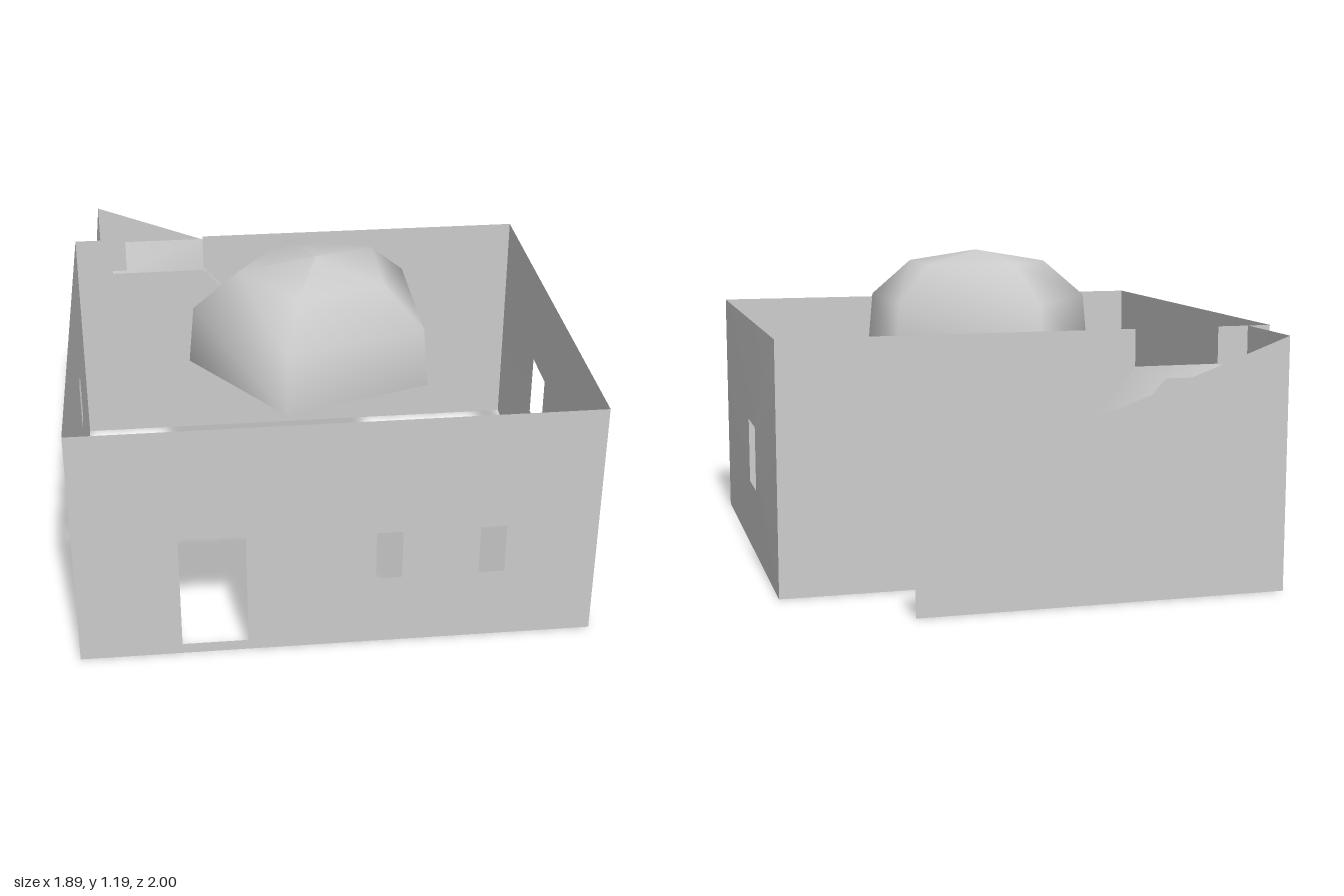
import * as THREE from 'three';

const H = 0.935;
const mat = new THREE.MeshStandardMaterial({ color: 0xcccccc, side: THREE.DoubleSide });

// Shape from [u, y] corners with rectangular openings [u0, y0, u1, y1]
function sheet(points, openings = []) {
  const shape = new THREE.Shape(points.map(([u, y]) => new THREE.Vector2(u, y)));
  for (const [a, b, c, d] of openings) {
    shape.holes.push(new THREE.Path([[a, b], [a, d], [c, d], [c, b]].map(([u, y]) => new THREE.Vector2(u, y))));
  }
  return new THREE.ShapeGeometry(shape);
}

const rect = (a, b) => [[a, 0], [b, 0], [b, H], [a, H]];

export function createModel() {
  const group = new THREE.Group();
  const add = (name, geometry) => {
    const mesh = new THREE.Mesh(geometry, mat);
    mesh.name = name;
    group.add(mesh);
    return mesh;
  };
  // Walls along z are drawn in (u = -z, y) and turned to face +x
  const addSide = (name, x, geometry) => {
    const mesh = add(name, geometry);
    mesh.rotation.y = Math.PI / 2;
    mesh.position.x = x;
  };

  // Front wall: door and two windows
  add('frontWall', sheet(rect(-0.95, 0.93), [
    [-0.58, 0.04, -0.34, 0.5],
    [0.125, 0.28, 0.22, 0.475],
    [0.5, 0.28, 0.595, 0.475],
  ])).position.z = 1;

  // Back wall, notched at the top where the stair landing enters
  add('backWall', sheet([
    [-0.95, 0], [0.93, 0], [0.93, H], [-0.41, H], [-0.41, 0.78], [-0.74, 0.78], [-0.74, H], [-0.95, H],
  ])).position.z = -0.64;

  // Right wall: two small windows
  addSide('rightWall', -0.95, sheet(rect(-1, 0.64), [
    [-0.65, 0.31, -0.55, 0.51],
    [0.14, 0.31, 0.23, 0.51],
  ]));

  // Left wall: one window, bulging slightly outward around it
  const leftWall = sheet(rect(-1, 0.64), [[-0.08, 0.29, 0.12, 0.54]]);
  const lp = leftWall.attributes.position;
  for (let i = 0; i < lp.count; i++) {
    if (lp.getY(i) > 0.1 && lp.getY(i) < 0.9) lp.setZ(i, 0.013);
  }
  leftWall.computeVertexNormals();
  addSide('leftWall', 0.93, leftWall);

  // Stair enclosure: stepped parapet and end wall
  add('stairParapet', sheet([
    [-0.86, 0], [0.51, 0], [0.51, 0.285], [0.36, 0.285], [-0.09, 0.65], [-0.86, H],
  ])).position.z = -1;
  addSide('stairEndWall', -0.86, sheet(rect(0.64, 1)));

  // Stair ramp: flat landing, then a slope down to the ground
  const profile = [[-0.8, 0.79], [-0.41, 0.79], [0.28, 0]];
  const ramp = new THREE.PlaneGeometry(1, 0.335, 2, 1);
  ramp.rotateX(-Math.PI / 2);
  const rp = ramp.attributes.position;
  for (let i = 0; i < rp.count; i++) {
    const [x, y] = profile[i % 3];
    rp.setXYZ(i, x, y, rp.getZ(i) - 0.78);
  }
  ramp.computeVertexNormals();
  add('stairRamp', ramp);

  // Five-sided dome, open underneath, one corner pointing to -x
  const domeProfile = [[0.489, 0.77], [0.467, 0.995], [0.293, 1.14], [0, 1.19]];
  const dome = add('dome', new THREE.LatheGeometry(
    domeProfile.map(([r, y]) => new THREE.Vector2(r, y)), 5, -Math.PI / 2));
  dome.position.set(-0.01, 0, 0.18);

  return group;
}
